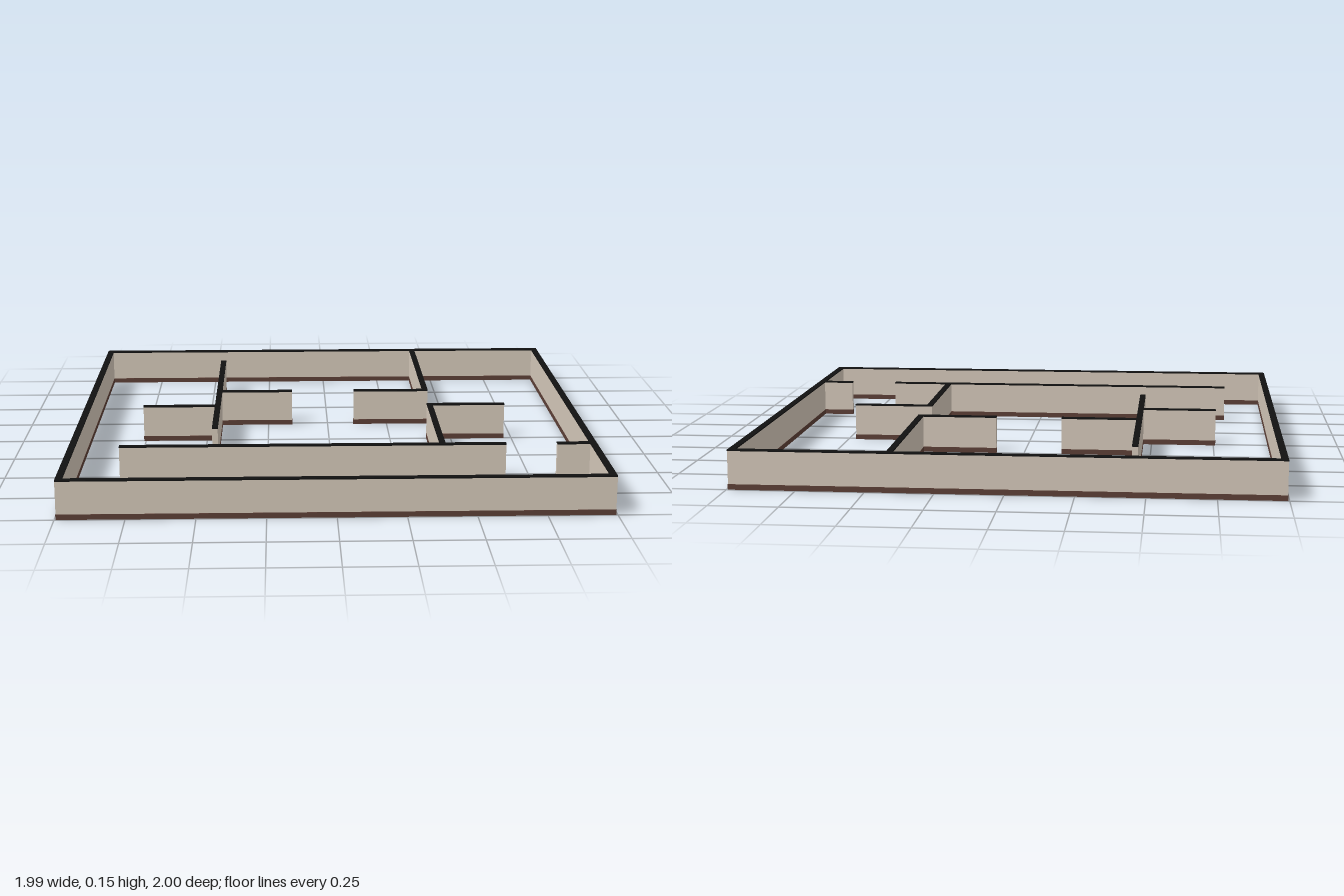
import * as THREE from 'three';

const paint = (name, color) => {
  const m = new THREE.MeshStandardMaterial({ color });
  m.name = name;
  return m;
};

export function createModel() {
  const model = new THREE.Group();
  model.name = 'floorPlanWalls';

  const plaster = paint('plaster', 0xd6cabb);
  const skirting = paint('skirting', 0x5d4037);
  const capBlack = paint('capBlack', 0x111111);

  const X = 0.994, Z = 0.997, OUTER = 0.024, INNER = 0.022;

  // Horizontal layers of every wall: name, bottom, top, extra width, material
  const layers = [
    ['baseboard', 0, 0.02, 0.002, skirting],
    ['wallBody', 0.02, 0.141, 0, plaster],
    ['topCap', 0.141, 0.146, 0.001, capBlack],
  ];

  // One wall covering a rectangle of the plan
  function addWall(name, x0, x1, z0, z1) {
    const wall = new THREE.Group();
    wall.name = name;
    for (const [part, y0, y1, extra, material] of layers) {
      const geometry = new THREE.BoxGeometry(x1 - x0 + extra, y1 - y0, z1 - z0 + extra);
      const mesh = new THREE.Mesh(geometry, material);
      mesh.name = part;
      mesh.position.set((x0 + x1) / 2, (y0 + y1) / 2, (z0 + z1) / 2);
      wall.add(mesh);
    }
    model.add(wall);
  }
  const alongX = (name, z, x0, x1, t = INNER) => addWall(name, x0, x1, z - t / 2, z + t / 2);
  const alongZ = (name, x, z0, z1, t = INNER) => addWall(name, x - t / 2, x + t / 2, z0, z1);

  // Outer walls: the side walls fit between the front and back ones
  alongX('frontWall', Z - OUTER / 2, -X, X, OUTER);
  alongX('backWall', -Z + OUTER / 2, -X, X, OUTER);
  alongZ('leftWall', X - OUTER / 2, -Z + OUTER, Z - OUTER, OUTER);
  alongZ('rightWall', -X + OUTER / 2, -Z + OUTER, Z - OUTER, OUTER);

  // Partitions on the right
  alongZ('rightPartition', -0.455, -0.787, 0.33);
  alongX('rightInnerStub', -0.24, -0.444, -0.15);
  alongX('rightOuterStub', -0.007, -0.757, -0.466);

  // Partitions on the left
  alongZ('backLeftPartition', 0.412, -Z + OUTER, -0.229);
  alongX('backLeftStub', -0.24, 0.11, 0.401);
  alongZ('frontLeftPartition', 0.412, -0.018, 0.561);
  alongX('frontLeftStub', -0.007, 0.423, 0.718);

  // Hallway partition with its doorway
  alongX('hallPartition', 0.572, -0.805, 0.652);
  alongX('hallDoorStub', 0.572, 0.846, X - OUTER);

  return model;
}
